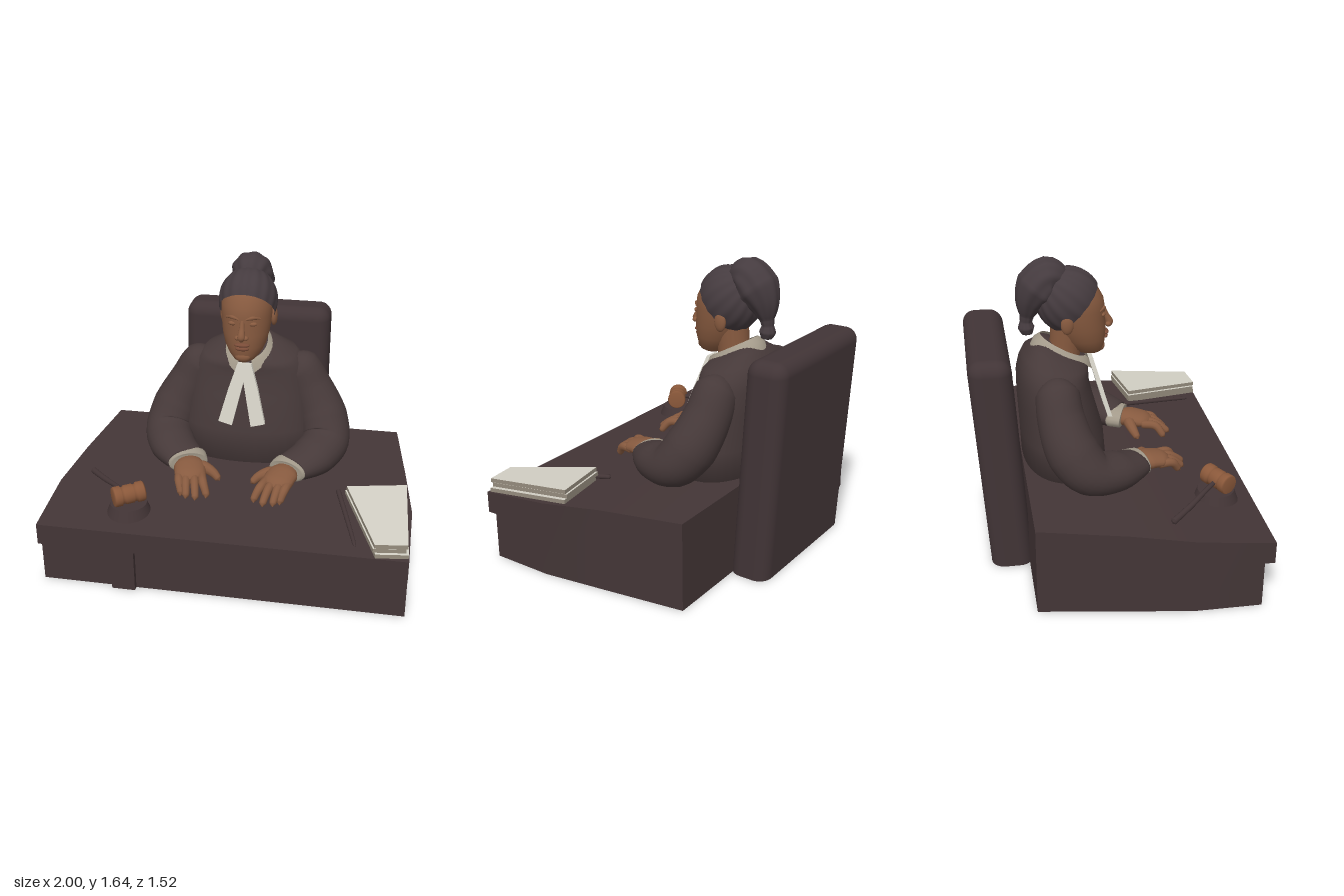
import * as THREE from 'three';
import { mergeVertices } from 'three/addons/utils/BufferGeometryUtils.js';
import { RoundedBoxGeometry } from 'three/addons/geometries/RoundedBoxGeometry.js';

const mat = (name, color, side = THREE.FrontSide) => {
  const m = new THREE.MeshStandardMaterial({ color, side });
  m.name = name;
  return m;
};

// Height of the sloping desk top at depth z
const deskY = z => 0.465 - z * (z > 0 ? 0.11 : 0.06);

function smooth(geo) {
  geo.deleteAttribute('uv');
  geo.deleteAttribute('normal');
  const g = mergeVertices(geo, 1e-5);
  g.computeVertexNormals();
  return g;
}

// Tube of varying radius; stations are [x, y, z, radius, vertical squash]
function limb(stations, s = 1, ridges = 0, around = 20) {
  const curve = new THREE.CatmullRomCurve3(stations.map(p => new THREE.Vector3(p[0] * s, p[1], p[2])));
  curve.getUtoTmapping = u => u;
  const last = stations.length - 1, rows = last * 6;
  const geo = new THREE.TubeGeometry(curve, rows, 1, around);
  const pos = geo.attributes.position, v = new THREE.Vector3();
  for (let i = 0; i < pos.count; i++) {
    const row = Math.floor(i / (around + 1)), t = row / rows;
    const k = Math.min(Math.floor(row / 6), last - 1), f = t * last - k;
    const a = stations[k], b = stations[k + 1], c = curve.getPoint(t);
    const wave = 1 + (ridges ? 0.03 * Math.cos(ridges * (i % (around + 1)) / around * Math.PI * 2) : 0);
    const r = THREE.MathUtils.lerp(a[3], b[3], f) * wave;
    const squash = THREE.MathUtils.lerp(a[4] ?? 1, b[4] ?? 1, f);
    v.fromBufferAttribute(pos, i).sub(c);
    pos.setXYZ(i, c.x + v.x * r, c.y + v.y * r * squash, c.z + v.z * r);
  }
  return smooth(geo);
}

// Closed body of stacked rings; each is [y, half width, front z, back z, tilt]
function loft(rings, power = 2, n = 40) {
  const pos = [], idx = [], sp = x => Math.sign(x) * Math.abs(x) ** (2 / power);
  for (const [y, rx, zf, zb, tilt = 0] of rings) {
    const zc = (zf + zb) / 2, rz = (zf - zb) / 2;
    for (let j = 0; j < n; j++) {
      const a = j / n * Math.PI * 2, dz = rz * sp(Math.cos(a));
      pos.push(rx * sp(Math.sin(a)), y - tilt * dz, zc + dz);
    }
  }
  const m = rings.length;
  for (const r of [rings[0], rings[m - 1]]) pos.push(0, r[0], (r[2] + r[3]) / 2);
  for (let j = 0; j < n; j++) {
    const k = (j + 1) % n;
    for (let i = 0; i < m - 1; i++) {
      const a = i * n + j, b = i * n + k;
      idx.push(a, b, a + n, b, b + n, a + n);
    }
    idx.push(m * n, k, j, m * n + 1, (m - 1) * n + j, (m - 1) * n + k);
  }
  const geo = new THREE.BufferGeometry();
  geo.setAttribute('position', new THREE.Float32BufferAttribute(pos, 3));
  geo.setIndex(idx);
  geo.computeVertexNormals();
  return geo;
}

// Block under the desk slope; sections are [z, half width]
function slab(sections, bottom) {
  const n = sections.length - 1, geo = new THREE.BoxGeometry(2, 2, n, 1, 1, n), p = geo.attributes.position;
  for (let i = 0; i < p.count; i++) {
    const [z, w] = sections[Math.round(p.getZ(i) + n / 2)];
    p.setXYZ(i, p.getX(i) * w, p.getY(i) > 0 ? deskY(z) : bottom, z);
  }
  geo.computeVertexNormals();
  return geo;
}

const ball = (x, y, z, rx, ry, rz) => new THREE.SphereGeometry(1, 20, 14).scale(rx, ry, rz).translate(x, y, z);

export function createModel() {
  const group = new THREE.Group();
  const wood = mat('dark wood', 0x433536), robe = mat('robe', 0x463939);
  const leather = mat('chair leather', 0x413436), hair = mat('hair', 0x453b3f, THREE.DoubleSide);
  const skin = mat('skin', 0x875a3f), lip = mat('lips', 0x7a4c38), gavelWood = mat('gavel wood', 0x8a583a);
  const linen = mat('linen', 0xa39a8a, THREE.DoubleSide), white = mat('white cloth and paper', 0xd2cfc4);
  const edge = mat('paper edges', 0x958c7d);
  const add = (name, geo, material) => {
    const mesh = new THREE.Mesh(geo, material);
    mesh.name = name;
    group.add(mesh);
    return mesh;
  };

  // Desk with front lip and post
  add('deskBody', slab([[-0.47, 0.88], [0, 0.95], [0.35, 1], [0.705, 1]], 0), wood);
  add('deskLip', slab([[0.7, 1], [0.76, 1]], 0.26), wood);
  add('deskPost', new THREE.BoxGeometry(0.13, 0.27, 0.06).translate(-0.535, 0.135, 0.705), wood);

  // Chair leaning back, flat underneath
  const chair = new RoundedBoxGeometry(0.88, 1.31, 0.23, 5, 0.075).translate(-0.01, 0.575, -0.565);
  const cp = chair.attributes.position;
  for (let i = 0; i < cp.count; i++) {
    const y = Math.max(0, cp.getY(i));
    cp.setY(i, y);
    cp.setZ(i, cp.getZ(i) - 0.065 * y);
  }
  add('chair', chair, leather);

  // Robe
  add('robeBody', loft([[0.4, 0.42, 0.02, -0.46], [0.65, 0.39, 0, -0.47], [0.85, 0.36, -0.055, -0.48],
    [0.97, 0.34, -0.08, -0.48, 0.05], [1.03, 0.31, -0.08, -0.465, 0.1], [1.07, 0.27, -0.08, -0.44, 0.2],
    [1.1, 0.19, -0.085, -0.39, 0.35], [1.13, 0.11, -0.09, -0.35, 0.5]], 2.3), robe);

  for (const s of [1, -1]) {
    const side = s > 0 ? 'left' : 'right';
    add(side + 'Sleeve', limb([[0.22, 1.0, -0.28, 0.05], [0.29, 0.965, -0.28, 0.12], [0.355, 0.85, -0.27, 0.13],
      [0.44, 0.69, -0.22, 0.145], [0.47, 0.58, -0.13, 0.14, 0.9], [0.41, 0.54, 0.02, 0.135, 0.8],
      [0.3, 0.525, 0.15, 0.112, 0.55], [0.298, 0.525, 0.155, 0.001]], s, 0, 24), robe);
    add(side + 'Cuff', limb([[0.31, 0.525, 0.125, 0.06, 0.55], [0.305, 0.525, 0.13, 0.117, 0.55],
      [0.285, 0.52, 0.18, 0.112, 0.55], [0.283, 0.52, 0.185, 0.001]], s), linen);

    // Hand
    add(side + 'Palm', limb([[0.29, 0.515, 0.15, 0.06, 0.7], [0.268, 0.52, 0.22, 0.09, 0.55],
      [0.25, 0.51, 0.29, 0.088, 0.45], [0.24, 0.49, 0.335, 0.05, 0.4], [0.238, 0.485, 0.345, 0.001]], s), skin);
    [[0.315, 0.28, 0.415], [0.272, 0.245, 0.44], [0.228, 0.19, 0.45], [0.185, 0.135, 0.415]].forEach(([x, tip, z], i) =>
      add(side + 'Finger' + (i + 1), limb([[x, 0.505, 0.28, 0.025], [(x + tip) / 2, 0.5, 0.36, 0.025],
        [tip, 0.45, z - 0.015, 0.02], [tip, 0.435, z, 0.001]], s, 0, 10), skin));
    add(side + 'Thumb', limb([[0.25, 0.515, 0.2, 0.03], [0.19, 0.515, 0.205, 0.035], [0.13, 0.49, 0.22, 0.027],
      [0.1, 0.465, 0.235, 0.02], [0.088, 0.455, 0.24, 0.001]], s, 0, 10), skin);

    // Ear, eyelid and brow
    add(side + 'Ear', ball(s * 0.145, 1.305, -0.205, 0.02, 0.055, 0.035), skin);
    add(side + 'Eyelid', ball(s * 0.055, 1.325, 0.0, 0.026, 0.013, 0.016), skin);
    add(side + 'Brow', limb([[0.02, 1.352, 0.016, 0.006], [0.055, 1.362, 0.008, 0.011], [0.095, 1.352, -0.022, 0.005]], s, 0, 10), skin);
    add(side + 'Nostril', ball(s * 0.022, 1.252, 0.038, 0.017, 0.014, 0.017), skin);

    // Hanging neck band
    const tab = new THREE.Shape([[-0.015, 1.06], [0.04, 1.06], [0.085, 0.92], [0.135, 0.735], [0.055, 0.715], [0, 0.96]]
      .map(([x, y]) => new THREE.Vector2(x * s, y)));
    const band = new THREE.ExtrudeGeometry(tab, { depth: 0.025, bevelEnabled: false });
    const bp = band.attributes.position;
    for (let i = 0; i < bp.count; i++) bp.setZ(i, bp.getZ(i) - 0.075 + (1.06 - bp.getY(i)) * 0.29);
    band.computeVertexNormals();
    add(side + 'NeckBand', band, white);
  }

  // Collar, open at the front
  const rows = [], faces = [], steps = 36;
  for (let i = 0; i <= steps; i++) {
    const a = THREE.MathUtils.lerp(0.3, Math.PI * 2 - 0.3, i / steps), c = Math.cos(a), h = (1 - c) / 2;
    rows.push(0.108 * Math.sin(a), 1.075 + 0.135 * h, -0.215 + 0.125 * c);
    rows.push(0.13 * Math.sin(a), 1.06 + 0.13 * h, -0.222 + 0.155 * c);
    rows.push(0.155 * Math.sin(a), 0.96 + 0.18 * h ** 0.4, -0.225 + 0.175 * c);
    if (i < steps) for (const k of [i * 3, i * 3 + 1]) faces.push(k, k + 1, k + 3, k + 1, k + 4, k + 3);
  }
  const collar = new THREE.BufferGeometry();
  collar.setAttribute('position', new THREE.Float32BufferAttribute(rows, 3));
  collar.setIndex(faces);
  collar.computeVertexNormals();
  add('collar', collar, linen);

  // Neck, head and face
  add('neck', limb([[0, 1.03, -0.22, 0.09], [0, 1.14, -0.2, 0.09], [0, 1.28, -0.18, 0.1]]), skin);
  add('head', loft([[1.085, 0.03, -0.015, -0.1], [1.1, 0.06, 0.005, -0.14], [1.13, 0.088, 0.015, -0.18],
    [1.18, 0.115, 0.022, -0.22], [1.25, 0.133, 0.025, -0.26], [1.31, 0.14, 0.018, -0.28], [1.35, 0.143, 0.022, -0.3],
    [1.41, 0.145, 0.012, -0.3], [1.47, 0.13, -0.02, -0.3], [1.52, 0.1, -0.065, -0.28]]), skin);
  add('nose', limb([[0, 1.345, 0.012, 0.012], [0, 1.3, 0.028, 0.016], [0, 1.258, 0.046, 0.023],
    [0, 1.24, 0.04, 0.014], [0, 1.236, 0.036, 0.001]], 1, 0, 12), skin);
  add('upperLip', ball(0, 1.205, 0.022, 0.045, 0.012, 0.02), lip);
  add('lowerLip', ball(0, 1.182, 0.018, 0.04, 0.013, 0.02), lip);
  add('chin', ball(0, 1.125, -0.005, 0.045, 0.03, 0.025), skin);

  // Swept-back hair, strands running towards the bun
  const cap = new THREE.SphereGeometry(1, 112, 20, 0, Math.PI * 2, 0, 1.92);
  const hp = cap.attributes.position;
  for (let i = 0; i < hp.count; i++) {
    const k = 1 + 0.012 * Math.cos(16 * Math.atan2(hp.getZ(i), hp.getX(i))) * Math.hypot(hp.getX(i), hp.getZ(i));
    hp.setXYZ(i, hp.getX(i) * k, hp.getY(i) * k, hp.getZ(i) * k);
  }
  add('hair', smooth(cap.rotateX(-0.82).scale(0.166, 0.185, 0.18).translate(0, 1.4, -0.18)), hair);
  add('bun', limb([[0, 1.5, -0.2, 0.06], [0, 1.53, -0.285, 0.115], [0, 1.47, -0.35, 0.122], [0, 1.4, -0.39, 0.085],
    [0, 1.32, -0.41, 0.04], [0, 1.285, -0.415, 0.033], [0, 1.25, -0.415, 0.045], [0, 1.215, -0.41, 0.03],
    [0, 1.205, -0.41, 0.001]], 1, 9, 54), hair);

  // Gavel and sounding block
  add('soundingBlock', new THREE.CylinderGeometry(0.1, 0.125, 0.065, 40).translate(-0.535, 0.42, 0.555), wood);
  const profile = [[0, -0.088], [0.05, -0.088], [0.056, -0.08], [0.056, -0.045], [0.047, -0.04], [0.047, -0.028], [0.053, -0.022]];
  const full = [...profile, ...profile.map(([r, y]) => [r, -y]).reverse()];
  const head = add('gavelHead', new THREE.LatheGeometry(full.map(p => new THREE.Vector2(...p)), 28), gavelWood);
  head.position.set(-0.53, 0.51, 0.565);
  head.quaternion.setFromUnitVectors(new THREE.Vector3(0, 1, 0), new THREE.Vector3(0.85, 0.05, -0.52).normalize());
  add('gavelHandle', limb([[-0.835, 0.455, 0.25, 0.001], [-0.83, 0.455, 0.255, 0.018], [-0.72, 0.475, 0.375, 0.016],
    [-0.62, 0.495, 0.475, 0.013], [-0.55, 0.51, 0.55, 0.013]], 1, 0, 12), wood);

  // Pen
  add('pen', limb([[0.583, deskY(0.22) + 0.012, 0.22, 0.001], [0.586, deskY(0.23) + 0.012, 0.23, 0.014],
    [0.65, deskY(0.45) + 0.012, 0.45, 0.013], [0.712, deskY(0.67) + 0.01, 0.67, 0.01],
    [0.717, deskY(0.69) + 0.008, 0.69, 0.001]], 1, 0, 10), wood);

  // Stack of papers following the desk slope
  const corners = [[0.635, 0.28], [0.96, 0.22], [0.99, 0.735], [0.82, 0.755]];
  for (let k = 0; k < 3; k++) {
    const slip = [0.006, -0.008, 0][k];
    const sheet = new THREE.Shape(corners.map(([x, z]) => new THREE.Vector2(x + slip, -z - slip * 0.5)));
    const geo = new THREE.ExtrudeGeometry(sheet, { depth: 0.023, bevelEnabled: false }).rotateX(-Math.PI / 2);
    const p = geo.attributes.position;
    for (let i = 0; i < p.count; i++) p.setY(i, p.getY(i) + deskY(p.getZ(i)) + 0.003 + k * 0.028);
    geo.computeVertexNormals();
    add('papers' + (k + 1), geo, [white, edge]);
  }
  return group;
}
